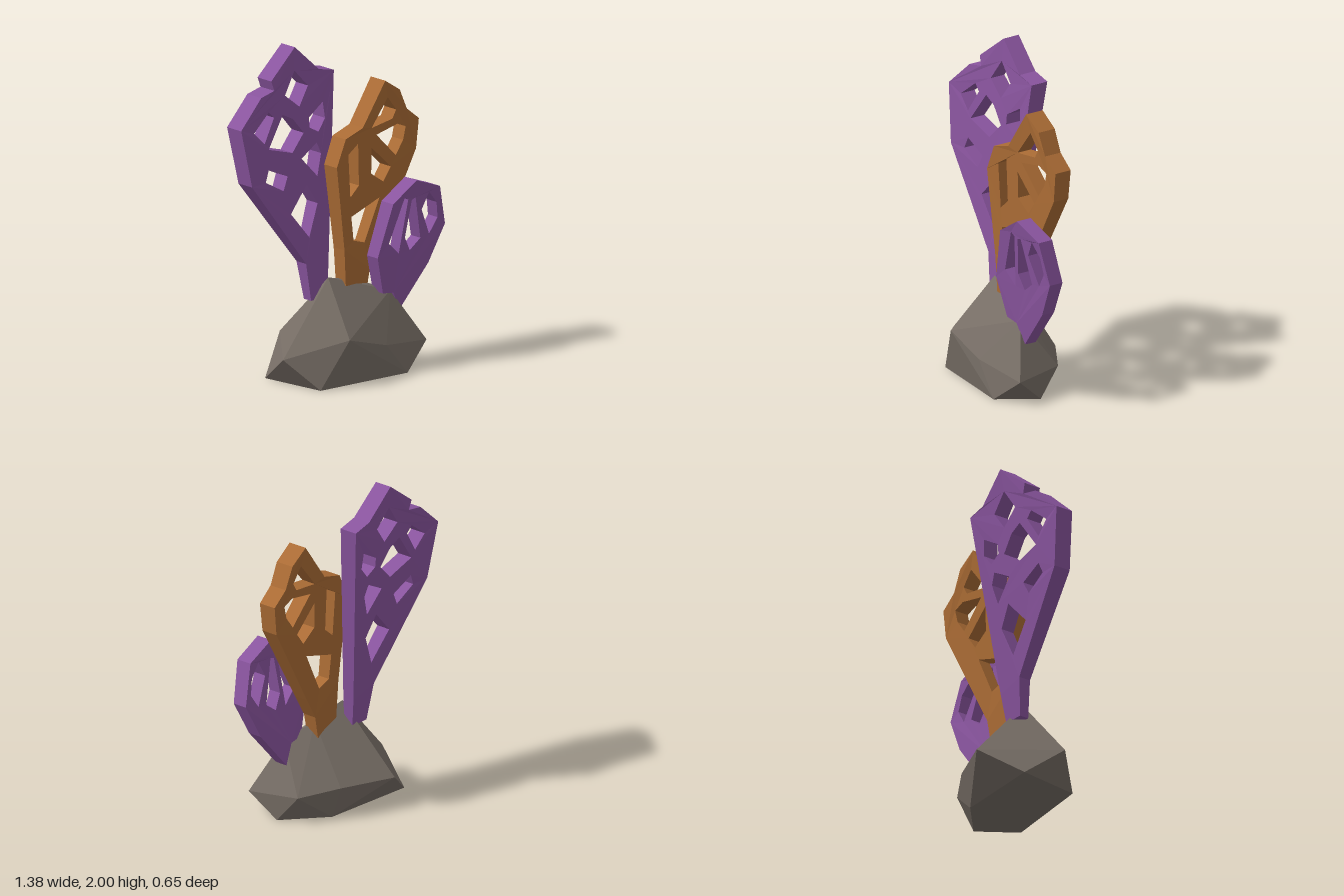
import * as THREE from 'three';
import { ConvexGeometry } from 'three/addons/geometries/ConvexGeometry.js';

const mat = (color) => new THREE.MeshStandardMaterial({ color, flatShading: true });
const points = (list) => list.map(([x, y]) => new THREE.Vector2(x, y));

// A lattice fan: pierced outline given depth; front and back planes lean with height,
// swell by bulge at mid height, and thin toward the rim of every opening.
function fan(name, outline, holes, low, high, bulge, material) {
  const shape = new THREE.Shape(points(outline));
  const key = (x, y) => x.toFixed(3) + ',' + y.toFixed(3);
  const inner = new Set();
  for (const h of holes) {
    shape.holes.push(new THREE.Path(points(h)));
    h.forEach(([x, y]) => inner.add(key(x, y)));
  }
  const geo = new THREE.ExtrudeGeometry(shape, { depth: 1, bevelEnabled: false });
  const p = geo.attributes.position;
  for (let i = 0; i < p.count; i++) {
    const x = p.getX(i), y = p.getY(i);
    const t = (y - low.y) / (high.y - low.y);
    const swell = bulge * Math.sin(Math.PI * t);
    const back = THREE.MathUtils.lerp(low.back, high.back, t) - swell;
    const front = THREE.MathUtils.lerp(low.front, high.front, t) + swell;
    const pinch = inner.has(key(x, y)) ? 0.86 : 1;
    p.setZ(i, (front + back) / 2 + (p.getZ(i) - 0.5) * (front - back) * pinch);
  }
  geo.computeVertexNormals();
  const mesh = new THREE.Mesh(geo, material);
  mesh.name = name;
  return mesh;
}

export function createModel() {
  const group = new THREE.Group();
  group.name = 'seaFansOnRock';
  const purple = mat(0x8a559f);
  const orange = mat(0xab6c35);

  // Faceted boulder
  const rock = new THREE.Mesh(new ConvexGeometry([
    [-0.47, 0.18, 0.05], [-0.09, 0.6, 0.04], [0.14, 0.54, 0.06], [0.31, 0.46, 0.15],
    [0.48, 0.15, 0.28], [0.44, 0, 0.1], [-0.17, 0.29, 0.3], [0.12, 0.2, 0.312],
    [0.28, 0, 0.325], [-0.33, 0, 0.22], [-0.385, 0, -0.185], [-0.12, 0.2, -0.33],
    [0.2, 0.2, -0.185], [0.42, 0.17, -0.04], [0.2, 0, -0.12],
  ].map((v) => new THREE.Vector3(...v))), mat(0x776e66));
  rock.name = 'rock';
  group.add(rock);

  // Tall fan at the back
  group.add(fan('tallFan',
    [[-0.21, 2], [-0.42, 1.84], [-0.4, 1.78], [-0.51, 1.76], [-0.69, 1.6], [-0.63, 1.25],
      [-0.22, 0.7], [-0.19, 0.47], [-0.06, 0.47], [-0.04, 0.65], [0.09, 1.8], [-0.03, 1.83]],
    [
      [[-0.22, 1.86], [-0.12, 1.75], [-0.2, 1.64], [-0.31, 1.73]],
      [[-0.45, 1.66], [-0.41, 1.62], [-0.5, 1.48], [-0.58, 1.56]],
      [[-0.34, 1.62], [-0.26, 1.58], [-0.18, 1.48], [-0.28, 1.38], [-0.47, 1.44]],
      [[-0.13, 1.56], [-0.01, 1.63], [0.0, 1.53], [-0.06, 1.46], [-0.13, 1.5]],
      [[-0.48, 1.32], [-0.33, 1.25], [-0.37, 1.17], [-0.51, 1.25]],
      [[-0.21, 1.33], [-0.08, 1.4], [-0.05, 1.33], [-0.09, 1.2]],
      [[-0.18, 1.17], [-0.1, 1.04], [-0.18, 0.85], [-0.32, 1.02]],
    ],
    { y: 0.47, front: 0.0, back: -0.06 }, { y: 2, front: -0.115, back: -0.225 }, 0.014, purple));

  // Middle fan
  group.add(fan('middleFan',
    [[0.31, 1.73], [0.13, 1.48], [-0.01, 1.44], [-0.08, 1.28], [-0.01, 0.76], [0.01, 0.45],
      [0.17, 0.45], [0.2, 0.6], [0.28, 0.74], [0.57, 1.26], [0.59, 1.44], [0.49, 1.52],
      [0.43, 1.65]],
    [
      [[0.34, 1.62], [0.41, 1.53], [0.38, 1.48], [0.21, 1.46]],
      [[0.25, 1.41], [0.42, 1.44], [0.49, 1.41], [0.47, 1.33], [0.41, 1.25]],
      [[0.21, 1.34], [0.37, 1.19], [0.31, 1.11], [0.21, 1.18]],
      [[0.02, 1.34], [0.1, 1.39], [0.11, 1.13], [0.04, 1.07]],
      [[0.05, 0.95], [0.28, 1.02], [0.16, 0.77], [0.07, 0.8]],
    ],
    { y: 0.45, front: 0.09, back: 0.01 }, { y: 1.73, front: 0.11, back: -0.01 }, 0, orange));

  // Small fan at the front
  group.add(fan('smallFan',
    [[0.42, 1.13], [0.24, 1.02], [0.15, 0.7], [0.22, 0.465], [0.31, 0.45], [0.37, 0.33],
      [0.58, 0.58], [0.69, 0.8], [0.62, 1.05]],
    [
      [[0.34, 1.04], [0.37, 1.02], [0.33, 0.69], [0.24, 0.77]],
      [[0.4, 1.01], [0.43, 1.02], [0.5, 0.75], [0.42, 0.69], [0.37, 0.78]],
      [[0.54, 1.03], [0.61, 0.95], [0.63, 0.85], [0.57, 0.76], [0.49, 0.93]],
    ],
    { y: 0.33, front: 0.165, back: 0.085 }, { y: 1.13, front: 0.26, back: 0.16 }, 0, purple));

  return group;
}
